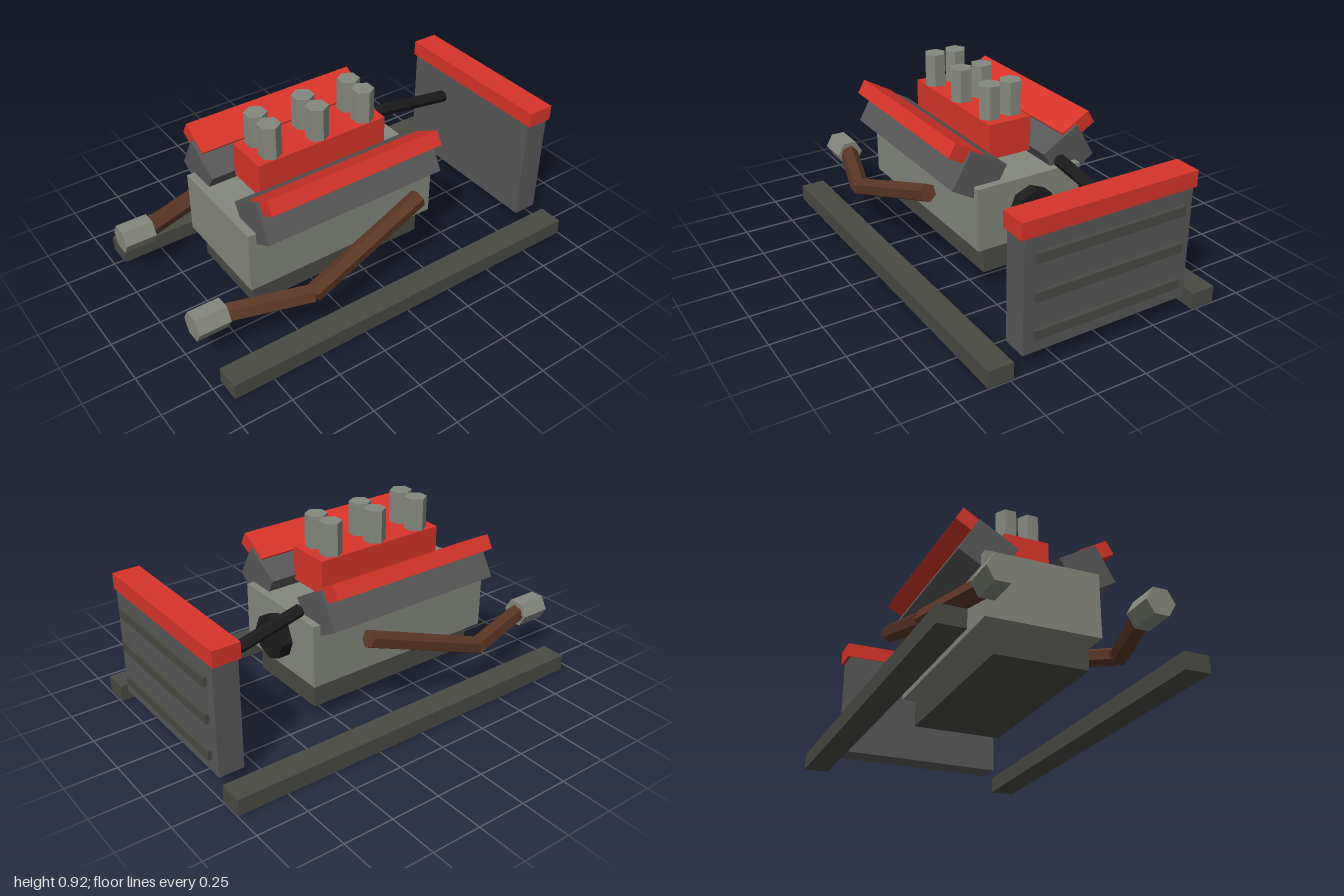
import * as THREE from 'three';

const mat = (color) => new THREE.MeshStandardMaterial({ color, flatShading: true });

export function createModel() {
  const model = new THREE.Group();
  model.name = 'engineOnStand';

  const frame = mat(0x4a4a45), steel = mat(0x585858), cast = mat(0x85887e);
  const red = mat(0xd8352a), rust = mat(0x5c3726), rubber = mat(0x1c1c1c);

  const add = (name, geometry, material, x = 0, y = 0, z = 0) => {
    const mesh = new THREE.Mesh(geometry, material);
    mesh.name = name;
    mesh.position.set(x, y, z);
    model.add(mesh);
    return mesh;
  };

  // Box given by its extents on each axis
  const box = (name, material, [x0, x1], [y0, y1], [z0, z1]) =>
    add(name, new THREE.BoxGeometry(x1 - x0, y1 - y0, z1 - z0), material,
      (x0 + x1) / 2, (y0 + y1) / 2, (z0 + z1) / 2);

  // Prism running between two points; spin turns its corners about the axis
  const rod = (name, material, a, b, radius, sides, spin = 0) => {
    const from = new THREE.Vector3(...a), to = new THREE.Vector3(...b);
    const dir = to.clone().sub(from);
    const geometry = new THREE.CylinderGeometry(radius, radius, dir.length(), sides).rotateY(spin);
    const mid = from.add(to).multiplyScalar(0.5);
    const mesh = add(name, geometry, material, mid.x, mid.y, mid.z);
    mesh.quaternion.setFromUnitVectors(new THREE.Vector3(0, 1, 0), dir.normalize());
    return mesh;
  };

  // Engine block, sump and intake manifold
  box('engineBlock', cast, [-0.655, 0.378], [0.225, 0.54], [-0.28, 0.275]);
  box('sump', frame, [-0.615, 0.34], [0.08, 0.26], [-0.225, 0.225]);
  box('intakeManifold', red, [-0.49, 0.21], [0.58, 0.752], [-0.112, 0.112]);

  // Six hexagonal intake stacks
  for (const x of [-0.395, -0.14, 0.118])
    for (const z of [-0.057, 0.057])
      add('intakeStack', new THREE.CylinderGeometry(0.055, 0.055, 0.185, 6), cast, x, 0.823, z);

  // Crank pulley
  rod('crankPulley', rubber, [0.35, 0.385, 0], [0.44, 0.385, 0], 0.11, 8);

  for (const side of [1, -1]) {
    const tilt = -side * Math.PI / 6;

    // Cylinder head and valve cover, leaning in towards the middle
    add('cylinderHead', new THREE.BoxGeometry(0.955, 0.196, 0.216), steel,
      -0.137, 0.576, side * 0.243).rotation.x = tilt;
    add('valveCover', new THREE.BoxGeometry(0.925, 0.073, 0.168), red,
      -0.135, 0.692, side * 0.303).rotation.x = tilt;

    // Bent exhaust pipe and its hexagonal tip
    const port = [0.18, 0.48, side * 0.423];
    const bend = [-0.455, 0.257, side * 0.478];
    const end = [-0.86, 0.257, side * 0.355];
    rod('exhaustUpper', rust, port, bend, 0.045, 6, Math.PI / 6);
    rod('exhaustLower', rust, bend, end, 0.047, 6, Math.PI / 6);
    rod('exhaustTip', cast, [-1, 0.26, side * 0.355], [-0.843, 0.26, side * 0.355], 0.07, 6);

    // Stand rail
    box('standRail', frame, [-0.95, 0.995], [0, 0.082], [side * 0.543 - 0.062, side * 0.543 + 0.062]);
  }

  // Radiator with cap and slats
  box('radiatorCore', steel, [0.855, 0.98], [0.082, 0.635], [-0.43, 0.43]);
  box('radiatorCap', red, [0.85, 0.985], [0.627, 0.705], [-0.447, 0.447]);
  for (const y of [0.173, 0.355, 0.535])
    box('radiatorSlat', frame, [0.97, 1], [y - 0.023, y + 0.023], [-0.382, 0.382]);

  // Coolant hose to the radiator
  rod('coolantHose', rubber, [0.37, 0.578, -0.165], [0.87, 0.481, -0.197], 0.031, 6);

  return model;
}
